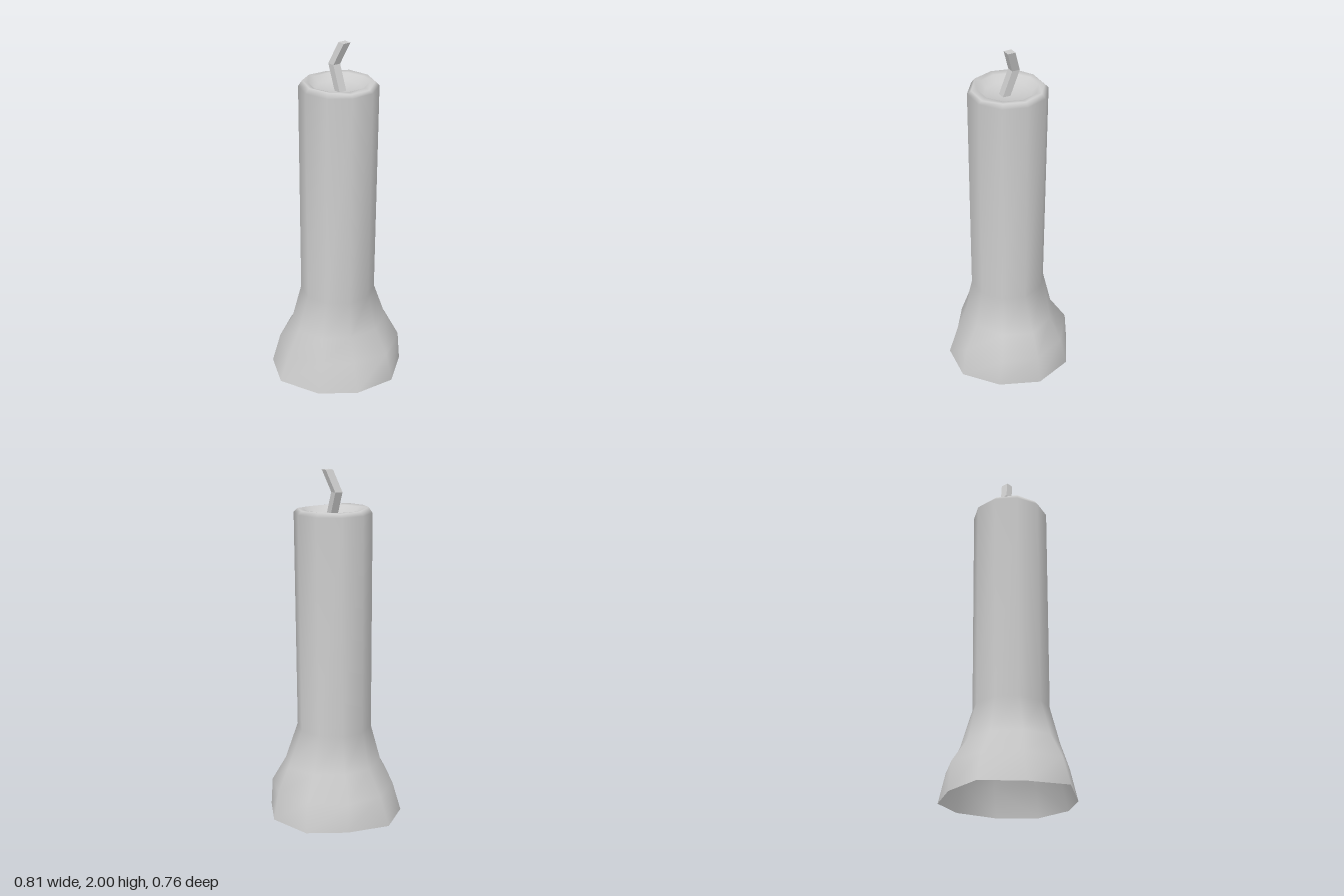
import * as THREE from 'three';

const SIDES = 10;
const material = () => new THREE.MeshStandardMaterial({ color: 0xcccccc, side: THREE.DoubleSide });

// Regular ring of points; lift adds small height changes per corner
function ring(r, y, cx, cz, lift = []) {
  return Array.from({ length: SIDES }, (_, i) => {
    const a = (i / SIDES) * Math.PI * 2;
    return [cx + r * Math.cos(a), y + (lift[i] || 0), cz + r * Math.sin(a)];
  });
}

// Uneven ring from [x, z] pairs
const unevenRing = (y, pairs, lift = []) => pairs.map(([x, z], i) => [x, y + (lift[i] || 0), z]);

// Skin a stack of rings (bottom to top), optionally closed by a centre point
function loft(rings, tip) {
  const n = rings[0].length;
  const pos = rings.flat(2);
  const index = [];
  for (let k = 0; k < rings.length - 1; k++) {
    for (let i = 0; i < n; i++) {
      const a = k * n + i, b = k * n + ((i + 1) % n);
      index.push(a, a + n, b, b, a + n, b + n);
    }
  }
  if (tip) {
    const last = (rings.length - 1) * n;
    for (let i = 0; i < n; i++) index.push(last + i, rings.length * n, last + ((i + 1) % n));
    pos.push(...tip);
  }
  const geo = new THREE.BufferGeometry();
  geo.setAttribute('position', new THREE.Float32BufferAttribute(pos, 3));
  geo.setIndex(index);
  geo.computeVertexNormals();
  return geo;
}

export function createModel() {
  const group = new THREE.Group();
  group.name = 'candle';

  // Wax: melted flared foot, straight column, rounded rim and hollow top
  const wax = new THREE.Mesh(loft([
    unevenRing(0.01, [[0.405, 0.01], [0.31, 0.23], [0.125, 0.38], [-0.11, 0.355], [-0.29, 0.215],
      [-0.41, 0.005], [-0.315, -0.22], [-0.125, -0.385], [0.12, -0.34], [0.32, -0.22]],
    [0.01, 0.005, 0.003, -0.003, -0.01, 0.01, 0, 0.005, 0.005, 0]),
    unevenRing(0.18, [[0.375, 0.01], [0.31, 0.21], [0.11, 0.345], [-0.1, 0.3], [-0.25, 0.2],
      [-0.357, 0.01], [-0.27, -0.2], [-0.1, -0.33], [0.11, -0.33], [0.295, -0.19]]),
    unevenRing(0.32, [[0.31, 0.01], [0.24, 0.17], [0.09, 0.265], [-0.08, 0.25], [-0.22, 0.16],
      [-0.28, 0.01], [-0.22, -0.14], [-0.08, -0.24], [0.08, -0.24], [0.23, -0.15]]),
    ring(0.214, 0.53, 0.003, 0.012),
    ring(0.218, 1.765, 0.01, 0.012),
    ring(0.196, 1.785, 0.01, 0.012, [0.002, 0.002, -0.006, -0.004, 0.008, 0.008, 0.012, 0.004, 0, 0.006]),
    ring(0.165, 1.785, 0.01, 0.012),
    ring(0.13, 1.75, 0.01, 0.012),
  ], [0.01, 1.74, 0.012]), material());
  wax.name = 'waxBody';
  group.add(wax);

  // Wick: square strand with one bend
  const path = [[0.007, 1.735, 0.033], [0.007, 1.88, -0.025], [0.041, 2, 0.019]];
  const h = 0.0225;
  const corners = [[h, -h], [h, h], [-h, h], [-h, -h]];
  const wickGeo = loft(path.map(([x, y, z]) => corners.map(([dx, dz]) => [x + dx, y, z + dz])), path[2]);
  const flat = wickGeo.toNonIndexed();
  flat.computeVertexNormals();
  const wick = new THREE.Mesh(flat, material());
  wick.name = 'wick';
  group.add(wick);

  return group;
}
